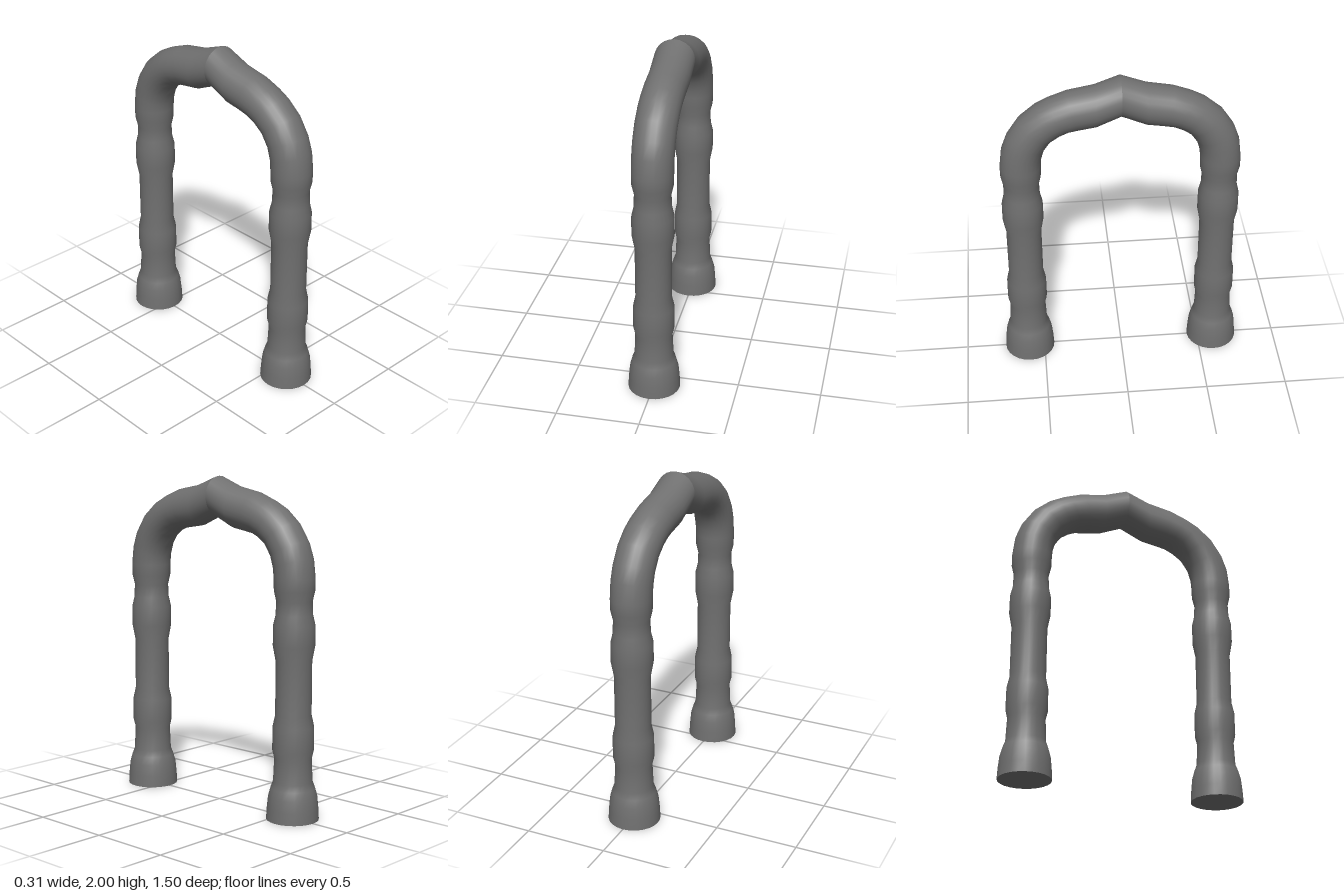
import * as THREE from 'three';

const SIDES = 24;
const LEG_Z = 0.594;

// Leg profile: [height, radius]
const LEG = [
  [0, 0.157], [0.07, 0.153], [0.14, 0.146], [0.19, 0.132], [0.23, 0.117], [0.37, 0.111], [0.42, 0.123],
  [0.56, 0.122], [0.63, 0.107], [0.95, 0.107], [1.04, 0.124], [1.16, 0.123],
  [1.22, 0.109], [1.3, 0.106], [1.36, 0.12],
];

// Bend sections: [outer z, outer y, inner z, inner y]
const BEND = [
  [0.715, 1.43, 0.472, 1.43], [0.7, 1.55, 0.468, 1.48], [0.665, 1.645, 0.449, 1.545],
  [0.595, 1.75, 0.405, 1.61], [0.5, 1.83, 0.35, 1.648], [0.42, 1.872, 0.3, 1.67],
  [0.31, 1.914, 0.24, 1.68], [0.15, 1.944, 0.145, 1.695], [0, 2, 0, 1.76],
];

// Skin elliptical rings running from the foot up to the middle of the arch
function loft(sections) {
  const positions = [], index = [];
  sections.forEach(([zo, yo, zi, yi, halfWidth], row) => {
    for (let j = 0; j < SIDES; j++) {
      const a = (j / SIDES) * Math.PI * 2, c = Math.cos(a);
      positions.push(
        Math.sin(a) * halfWidth,
        (yo + yi) / 2 + c * (yo - yi) / 2,
        (zo + zi) / 2 + c * (zo - zi) / 2,
      );
      if (row === sections.length - 1) continue;
      const p = row * SIDES + j, q = row * SIDES + (j + 1) % SIDES;
      index.push(p, q, q + SIDES, p, q + SIDES, p + SIDES);
    }
  });
  const geometry = new THREE.BufferGeometry();
  geometry.setAttribute('position', new THREE.Float32BufferAttribute(positions, 3));
  geometry.setIndex(index);
  geometry.computeVertexNormals();
  return geometry;
}

export function createModel() {
  const model = new THREE.Group();
  model.name = 'arch';
  const grey = new THREE.MeshStandardMaterial({ color: 0x707070 });
  grey.name = 'dark grey';

  const tube = loft([
    ...LEG.map(([y, r]) => [LEG_Z + r, y, LEG_Z - r, y, r]),
    ...BEND.map((s) => [...s, 0.121]),
  ]);
  const sole = new THREE.CircleGeometry(LEG[0][1], SIDES).rotateX(Math.PI / 2);

  // Two identical halves meet in a crease at the top
  for (const [name, angle] of [['front', 0], ['back', Math.PI]]) {
    const half = new THREE.Group();
    half.name = name + 'Half';
    half.rotation.y = angle;
    const leg = new THREE.Mesh(tube, grey);
    leg.name = name + 'LegAndBend';
    const foot = new THREE.Mesh(sole, grey);
    foot.name = name + 'Sole';
    foot.position.z = LEG_Z;
    half.add(leg, foot);
    model.add(half);
  }
  return model;
}
